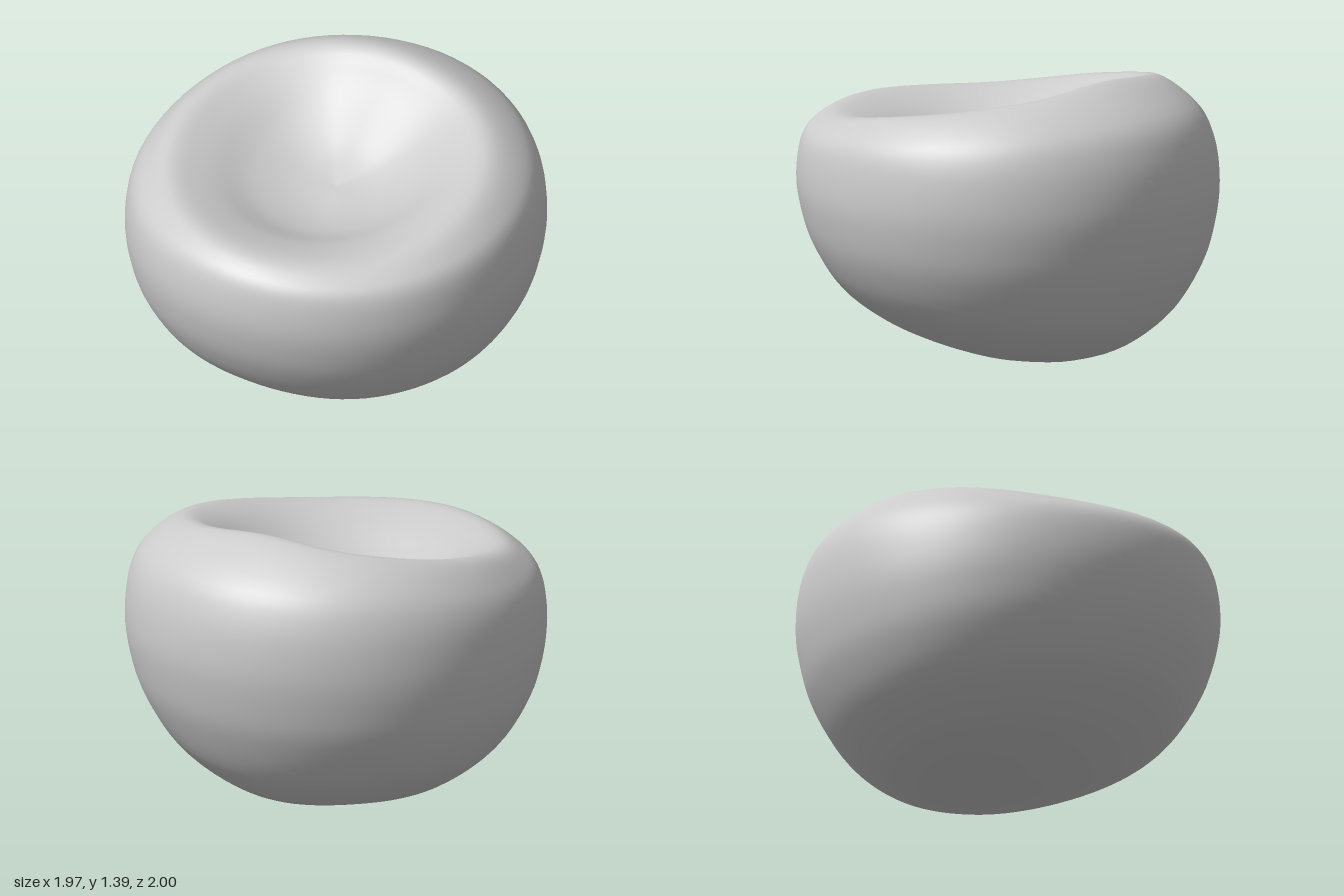
import * as THREE from 'three';
import { mergeVertices } from 'three/addons/utils/BufferGeometryUtils.js';

// Half profiles [radius, height], from the underside, over the rim, towards the seat centre
const FRONT = [[0.08, 0.018], [0.2, 0.045], [0.4, 0.115], [0.6, 0.22], [0.8, 0.385], [0.92, 0.57], [0.98, 0.74],
  [1, 0.9], [0.975, 1.06], [0.91, 1.14], [0.81, 1.17], [0.61, 1.115], [0.4, 1.02], [0.2, 0.985]];
const LEFT = [[0.08, 0.016], [0.2, 0.036], [0.4, 0.105], [0.6, 0.2], [0.78, 0.33], [0.91, 0.53], [0.97, 0.72],
  [0.985, 0.88], [0.962, 1.06], [0.9, 1.165], [0.77, 1.25], [0.6, 1.22], [0.4, 1.11], [0.2, 1.03]];
const BACK = [[0.08, 0.002], [0.2, 0.003], [0.4, 0.03], [0.6, 0.1], [0.78, 0.25], [0.91, 0.47], [0.97, 0.65],
  [1, 0.85], [0.975, 1.07], [0.88, 1.24], [0.63, 1.385], [0.5, 1.33], [0.34, 1.205], [0.17, 1.085]];
const RIGHT = [[0.08, 0.002], [0.2, 0.007], [0.4, 0.04], [0.6, 0.11], [0.8, 0.26], [0.925, 0.46], [0.975, 0.65],
  [0.985, 0.83], [0.96, 1.01], [0.89, 1.14], [0.76, 1.25], [0.6, 1.2], [0.4, 1.09], [0.2, 1.025]];
const PROFILES = [FRONT, LEFT, BACK, RIGHT].map((points) => new THREE.SplineCurve(
  [[0, 0.008], ...points, [0, 1.01]].map(([r, y]) => new THREE.Vector2(r, y))));

// Rim lift halfway between neighbouring profiles, strongest at the crest
const DIAGONAL_LIFT = [-0.04, 0.01, 0.02, -0.045];
const CREST = 11 / 15;

const ROWS = 75;
const SIDES = 80;

// Closed curve of (radius, height) around the seat at profile position t
function rowCurve(t) {
  const main = PROFILES.map((profile) => profile.getPoint(t));
  const falloff = Math.exp(-(((t - CREST) / 0.13) ** 2));
  const points = main.flatMap((p, k) => {
    const next = main[(k + 1) % 4];
    const lift = DIAGONAL_LIFT[k] * falloff;
    return [
      new THREE.Vector3(p.x, p.y, 0),
      new THREE.Vector3((p.x + next.x) / 2, (p.y + next.y) / 2 + lift, 0),
    ];
  });
  return new THREE.CatmullRomCurve3(points, true, 'catmullrom', 0.5);
}

export function createModel() {
  const group = new THREE.Group();
  group.name = 'beanbagSeat';

  // Revolved grid, then every vertex moves onto its row's curve
  const rows = Array.from({ length: ROWS + 1 }, (_, j) => rowCurve(j / ROWS));
  const geometry = new THREE.LatheGeometry(rows.map((_, j) => new THREE.Vector2(1, j)), SIDES);
  const pos = geometry.attributes.position;
  const uv = geometry.attributes.uv;
  for (let i = 0; i < pos.count; i++) {
    const turn = uv.getX(i);
    const p = rows[i % (ROWS + 1)].getPoint(turn);
    const angle = turn * Math.PI * 2;
    pos.setXYZ(i, p.x * Math.sin(angle), Math.max(p.y, 0), p.x * Math.cos(angle));
  }

  // Weld the seam and poles for smooth shading
  geometry.deleteAttribute('uv');
  geometry.deleteAttribute('normal');
  const skin = mergeVertices(geometry, 1e-4);
  skin.computeVertexNormals();

  const cushion = new THREE.Mesh(skin, new THREE.MeshStandardMaterial({ color: 0xcccccc }));
  cushion.name = 'dishedCushion';
  group.add(cushion);
  return group;
}
